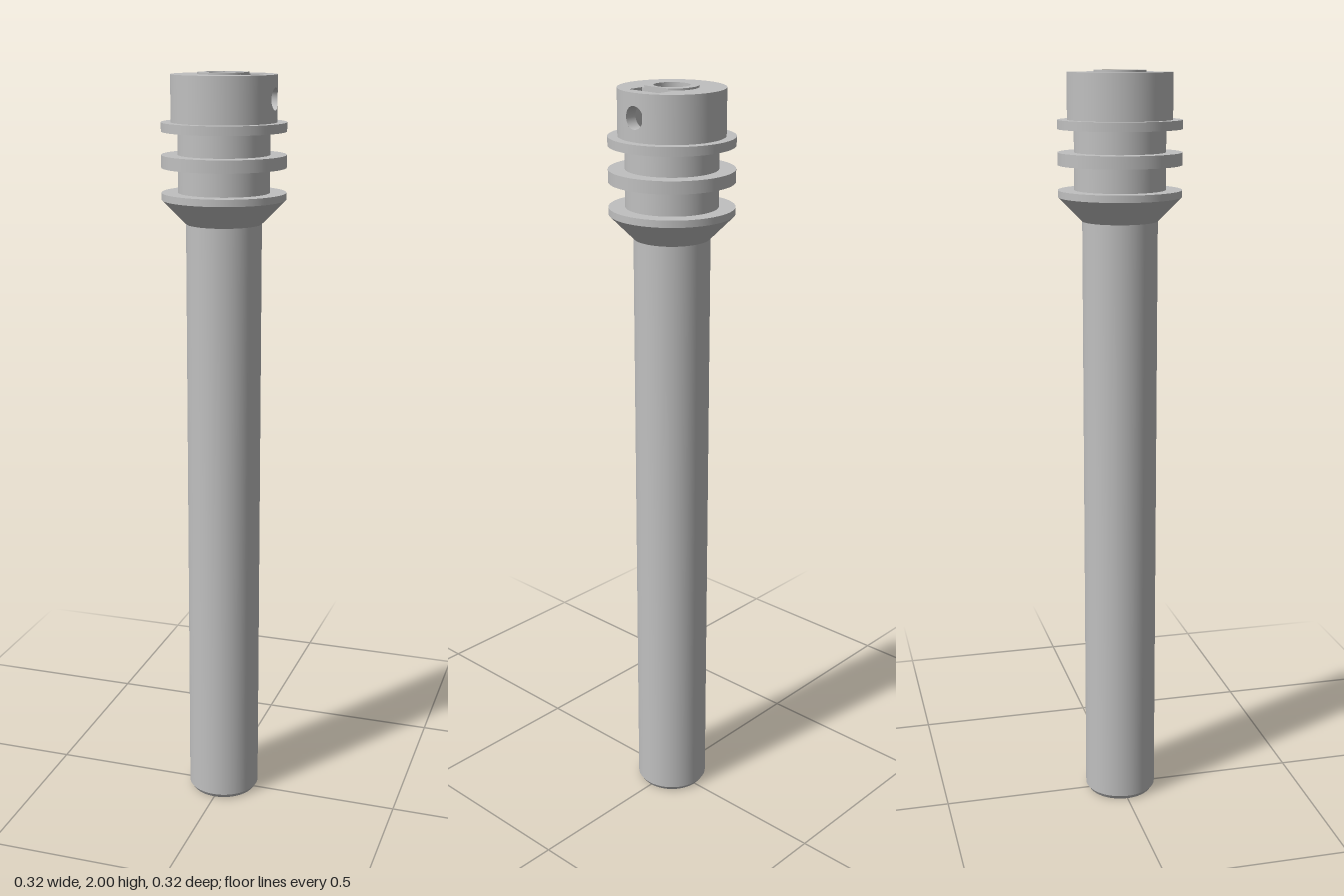
import * as THREE from 'three';
import { mergeGeometries } from 'three/addons/utils/BufferGeometryUtils.js';
import { ParametricGeometry } from 'three/addons/geometries/ParametricGeometry.js';

const SEG = 96;
const BORE = 0.045, HEAD = 0.135, BOSS = 0.067;
const HEAD_Y = 1.878, TOP = 1.995;
const HOLE_R = 0.028, HOLE_Y = 1.936;
const POCKET = { x0: 0.055, x1: 0.1, z: 0.049, y: 1.887 };

// Each profile step is its own band, so edges stay sharp
function turned(profile, gap = 0) {
  const bands = [];
  for (let i = 0; i < profile.length - 1; i++) {
    const pts = [profile[i], profile[i + 1]].map(([r, y]) => new THREE.Vector2(r, y));
    bands.push(new THREE.LatheGeometry(pts, SEG, Math.PI / 2 + gap, Math.PI * 2 - 2 * gap));
  }
  return mergeGeometries(bands);
}

// Patch of cylinder wall on the +x side, pierced by the round cross hole
function piercedPatch(radius, halfAngle, inward) {
  return new ParametricGeometry((u, v, target) => {
    const t = (inward ? u : 1 - u) * Math.PI * 2;
    const c = Math.cos(t), s = Math.sin(t), m = Math.max(Math.abs(c), Math.abs(s));
    const a0 = Math.asin(HOLE_R * c / radius), y0 = HOLE_Y + HOLE_R * s;
    const a1 = halfAngle * c / m;
    const y1 = HOLE_Y + (s > 0 ? TOP - HOLE_Y : HOLE_Y - HEAD_Y) * s / m;
    const a = THREE.MathUtils.lerp(a0, a1, v);
    target.set(radius * Math.cos(a), THREE.MathUtils.lerp(y0, y1, v), radius * Math.sin(a));
  }, 64, 8);
}

// Wall of the cross hole between two x positions, each a function of z
function crossHole(xa, xb) {
  return new ParametricGeometry((u, v, target) => {
    const z = HOLE_R * Math.cos(u * Math.PI * 2);
    target.set(THREE.MathUtils.lerp(xa(z), xb(z), v), HOLE_Y + HOLE_R * Math.sin(u * Math.PI * 2), z);
  }, 48, 1);
}

function rectPath(Type, x0, y0, x1, y1) {
  const p = new Type();
  p.moveTo(x0, y0).lineTo(x1, y0).lineTo(x1, y1).lineTo(x0, y1).closePath();
  return p;
}

const circlePath = (r, y = 0) => new THREE.Path().absarc(0, y, r, 0, Math.PI * 2, true);

export function createModel() {
  const group = new THREE.Group();
  const grey = new THREE.MeshStandardMaterial({ color: 0xc0c0c0, side: THREE.DoubleSide });
  grey.name = 'plain grey';
  const add = (name, geometry) => {
    const mesh = new THREE.Mesh(geometry, grey);
    mesh.name = name;
    group.add(mesh);
    return mesh;
  };

  // Long hollow shaft with a chamfered foot
  add('shaft', turned([[BORE, 0], [0.09, 0], [0.098, 0.012], [0.098, 1.622]]));

  // Conical shoulder, three flanges and two grooves
  add('flanges', turned([
    [0.098, 1.622], [0.16, 1.684], [0.16, 1.702], [0.118, 1.702],
    [0.118, 1.765], [0.16, 1.765], [0.16, 1.797], [0.118, 1.797],
    [0.118, 1.855], [0.16, 1.855], [0.16, HEAD_Y], [HEAD, HEAD_Y],
  ]));

  // Head wall and bore, with the cross hole through both
  add('headWall', turned([[HEAD, HEAD_Y], [HEAD, TOP]], 0.4));
  add('headWallPatch', piercedPatch(HEAD, 0.4, false));
  add('bore', turned([[BORE, HEAD_Y], [BORE, 0]]));
  add('upperBore', turned([[BORE, TOP], [BORE, HEAD_Y]], 1));
  add('upperBorePatch', piercedPatch(BORE, 1, true));
  const onCylinder = (r) => (z) => Math.sqrt(r * r - z * z);
  add('outerCrossHole', crossHole(() => POCKET.x1, onCylinder(HEAD)));
  add('innerCrossHole', crossHole(onCylinder(BORE), () => POCKET.x0));

  // Flat top with openings for the bore and the nut pocket
  const top = new THREE.Shape().absarc(0, 0, HEAD, 0, Math.PI * 2, false);
  top.holes.push(circlePath(BORE), rectPath(THREE.Path, POCKET.x0, -POCKET.z, POCKET.x1, POCKET.z));
  add('headTop', new THREE.ShapeGeometry(top, 48).rotateX(-Math.PI / 2).translate(0, TOP, 0));

  // Low raised ring around the bore, cut flat beside the pocket
  const cut = Math.acos(POCKET.x0 / BOSS);
  const ring = new THREE.Shape().absarc(0, 0, BOSS, cut, Math.PI * 2 - cut, false);
  ring.closePath();
  ring.holes.push(circlePath(BORE));
  const ringGeometry = new THREE.ExtrudeGeometry(ring, { depth: 2 - TOP, bevelEnabled: false, curveSegments: 48 });
  add('topRing', ringGeometry.rotateX(-Math.PI / 2).translate(0, TOP, 0));

  // Nut pocket: two pierced walls, two side walls and a floor
  const { x0, x1, z, y } = POCKET;
  const width = x1 - x0, depth = TOP - y, midX = (x0 + x1) / 2;
  for (const [x, turn] of [[x0, 1], [x1, -1]]) {
    const wall = rectPath(THREE.Shape, -z, y, z, TOP);
    wall.holes.push(circlePath(HOLE_R, HOLE_Y));
    add('pocketWall', new THREE.ShapeGeometry(wall, 24).rotateY(turn * Math.PI / 2).translate(x, 0, 0));
  }
  for (const side of [-1, 1]) {
    const wall = new THREE.PlaneGeometry(width, depth).rotateY(side > 0 ? Math.PI : 0);
    add('pocketSide', wall.translate(midX, y + depth / 2, side * z));
  }
  add('pocketFloor', new THREE.PlaneGeometry(width, 2 * z).rotateX(-Math.PI / 2).translate(midX, y, 0));

  return group;
}
